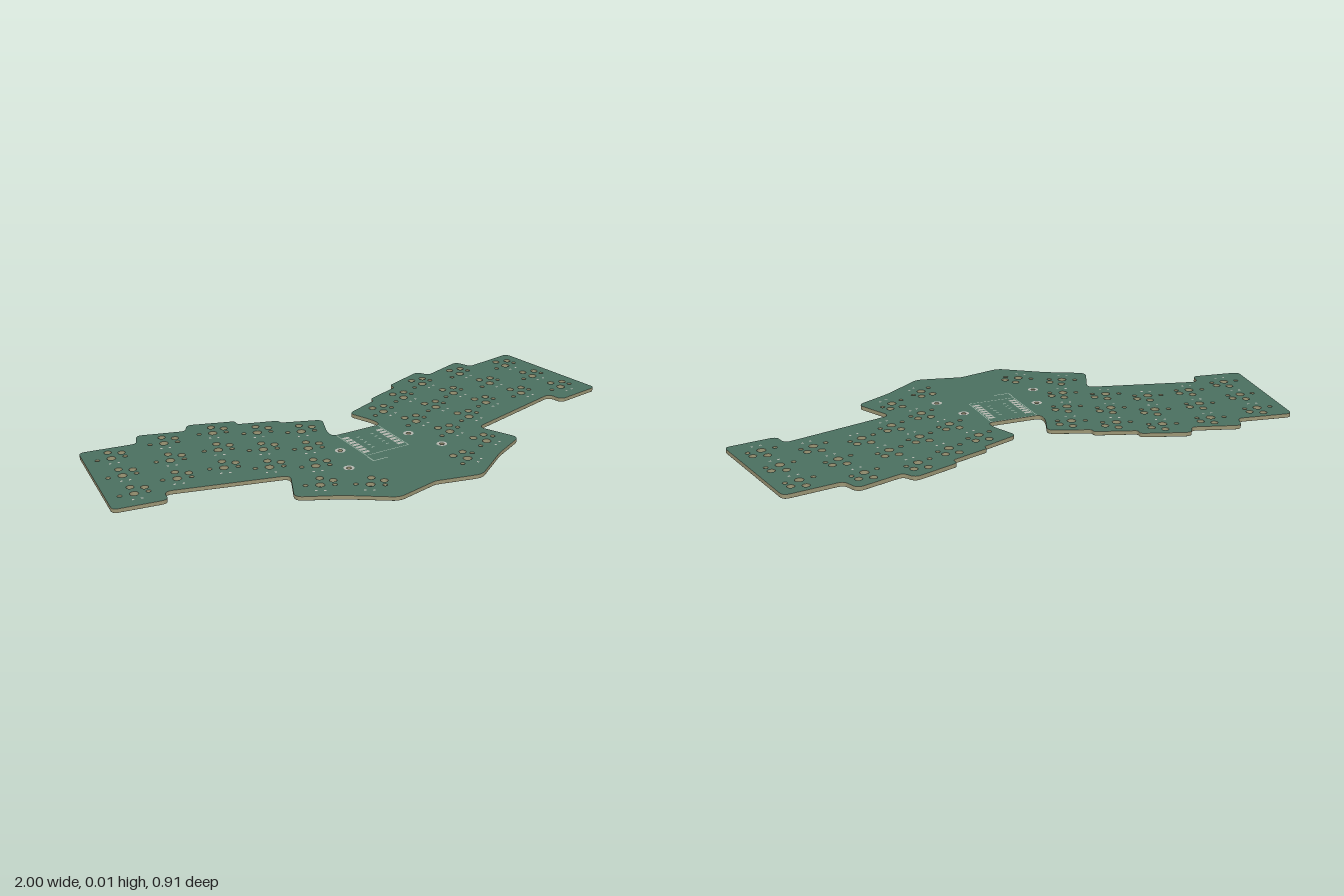
import * as THREE from 'three';
import { mergeGeometries } from 'three/addons/utils/BufferGeometryUtils.js';

const T = 0.0144;          // board thickness
const MM = 0.0089;         // one millimetre in model units
const mat = (color) => new THREE.MeshStandardMaterial({ color, side: THREE.DoubleSide });

// Right half of the outline: x, z, corner radius
const half = [
  [0.1, -0.088, 0.02], [0.1, -0.13, 0.03], [0.058, -0.236, 0.025], [0.2, -0.293, 0.008],
  [0.2, -0.314, 0.01], [0.342, -0.365, 0.01], [0.337, -0.393, 0.015], [0.505, -0.454, 0.024],
  [0.53, -0.407, 0.02], [0.7, -0.463, 0.025], [0.725, -0.397, 0.02], [0.93, -0.43, 0.025],
  [1.002, 0.044, 0.022], [0.815, 0.072, 0.025], [0.805, 0.008, 0.03], [0.39, 0.121, 0.03],
  [0.46, 0.272, 0.03], [0.32, 0.345, 0.03], [0.167, 0.455, 0.025],
];

// Switch columns on the right half: top key x, z, lean in degrees, number of keys
const columns = [
  [0.849, -0.328, 8.5, 3], [0.641, -0.35, 16, 3], [0.454, -0.339, 19, 3],
  [0.315, -0.259, 20, 3], [0.176, -0.184, 20, 3],
  [0.342, 0.238, 28, 1], [0.198, 0.323, 35, 1],
];

// Holes of one switch in millimetres: x, z, radius
const switchHoles = [
  [0, 0, 1.75], [-5.5, 0, 0.95], [5.5, 0, 0.95], [0, -5.9, 1.5], [5, -3.8, 1.5],
];
const mounts = [[0.143, 0.035], [0.192, 0.175]];

// Closed shape with rounded corners (shape y is -z)
function roundedShape(points) {
  const p = points.map(([x, z]) => new THREE.Vector2(x, -z));
  const shape = new THREE.Shape();
  const n = p.length;
  for (let i = 0; i < n; i++) {
    const c = p[i], a = p[(i + n - 1) % n], b = p[(i + 1) % n];
    const step = (q) => c.clone().lerp(q, Math.min(0.5, points[i][2] / c.distanceTo(q)));
    const s = step(a), e = step(b);
    if (i === 0) shape.moveTo(s.x, s.y); else shape.lineTo(s.x, s.y);
    shape.quadraticCurveTo(c.x, c.y, e.x, e.y);
  }
  shape.closePath();
  return shape;
}

function circle(x, z, r) {
  const path = new THREE.Path();
  path.absarc(x, -z, r, 0, Math.PI * 2, true);
  return path;
}

// Position and turn of every switch on both halves
function switchPlaces() {
  const keys = [];
  for (const side of [1, -1]) {
    for (const [x, z, deg, count] of columns) {
      const a = THREE.MathUtils.degToRad(deg);
      for (let i = 0; i < count; i++) {
        const d = i * 0.151;
        keys.push({ x: side * (x + d * Math.sin(a)), z: z + d * Math.cos(a), a: side * a });
      }
    }
  }
  return keys;
}

// Point given in a switch's own millimetres
function onKey(k, mx, mz) {
  const c = Math.cos(k.a), s = Math.sin(k.a);
  return [k.x + (mx * c + mz * s) * MM, k.z + (-mx * s + mz * c) * MM];
}

// Flat rectangle lying on the top or bottom face
function flat(x, z, w, d, turn, y) {
  return new THREE.PlaneGeometry(w, d).rotateX(y > 0 ? -Math.PI / 2 : Math.PI / 2)
    .rotateY(turn).translate(x, y, z);
}

export function createModel() {
  const group = new THREE.Group();
  const add = (name, geometry, material) => {
    const mesh = new THREE.Mesh(geometry, material);
    mesh.name = name;
    group.add(mesh);
  };
  const green = mat(0x4a7060), tan = mat(0x9c9675), metal = mat(0xb4b6ae), ink = mat(0x9fb3a6);
  const keys = switchPlaces();
  const faces = [T + 0.0004, -0.0001];

  // Outline with all drilled holes
  const mirrored = half.map(([x, z, r]) => [-x, z, r]).reverse();
  const shape = roundedShape([...half, [0, 0.415, 0.01], ...mirrored]);
  for (const k of keys) {
    for (const [mx, mz, r] of switchHoles) shape.holes.push(circle(...onKey(k, mx, mz), r * MM));
  }
  for (const s of [1, -1]) {
    for (const [x, z] of mounts) shape.holes.push(circle(s * x, z, 0.009));
  }

  // Laminate core and the coated faces
  const core = new THREE.ExtrudeGeometry(shape, { depth: T - 0.0004, bevelEnabled: false, curveSegments: 8 });
  add('boardCore', core.rotateX(-Math.PI / 2).translate(0, 0.0002, 0), tan);
  for (const [name, y] of [['topCoating', T], ['bottomCoating', 0]]) {
    const face = new THREE.ShapeGeometry(shape, 8).rotateX(-Math.PI / 2).translate(0, y, 0);
    add(name, face, green);
  }

  // Metal rings around the mounting holes
  const rings = [];
  for (const s of [1, -1]) for (const [x, z] of mounts) for (const y of faces) {
    rings.push(new THREE.RingGeometry(0.009, 0.019, 24)
      .rotateX(y > 0 ? -Math.PI / 2 : Math.PI / 2).translate(s * x, y, z));
  }
  add('mountingRings', mergeGeometries(rings), metal);

  // Two rows of controller pads
  const pads = [];
  for (const s of [1, -1]) for (let i = 0; i < 7; i++) for (const y of faces) {
    pads.push(flat(s * 0.071, -0.045 + i * 0.0226, 0.026, 0.015, 0, y));
  }
  add('controllerPads', mergeGeometries(pads), metal);

  // Small diode pads below each switch
  const diodes = [];
  for (const k of keys) for (const mx of [-1.7, 1.7]) for (const y of faces) {
    const [x, z] = onKey(k, mx, 4.9);
    diodes.push(flat(x, z, 0.008, 0.008, k.a, y));
  }
  add('diodePads', mergeGeometries(diodes), metal);

  // Printed controller outline and component marks
  const marks = [];
  for (const s of [1, -1]) {
    marks.push(flat(s * 0.088, 0.017, 0.003, 0.205, 0, faces[0]));
    marks.push(flat(0, 0.017 + s * 0.102, 0.176, 0.003, 0, faces[0]));
    for (let i = 0; i < 5; i++) {
      marks.push(flat(s * 0.03, -0.03 + i * 0.025, 0.012, 0.005, 0, faces[0]));
    }
  }
  marks.push(flat(-0.06, 0.17, 0.06, 0.004, 0, faces[0]));
  marks.push(flat(-0.09, 0.15, 0.004, 0.04, 0, faces[0]));
  add('printedMarks', mergeGeometries(marks), ink);

  return group;
}
